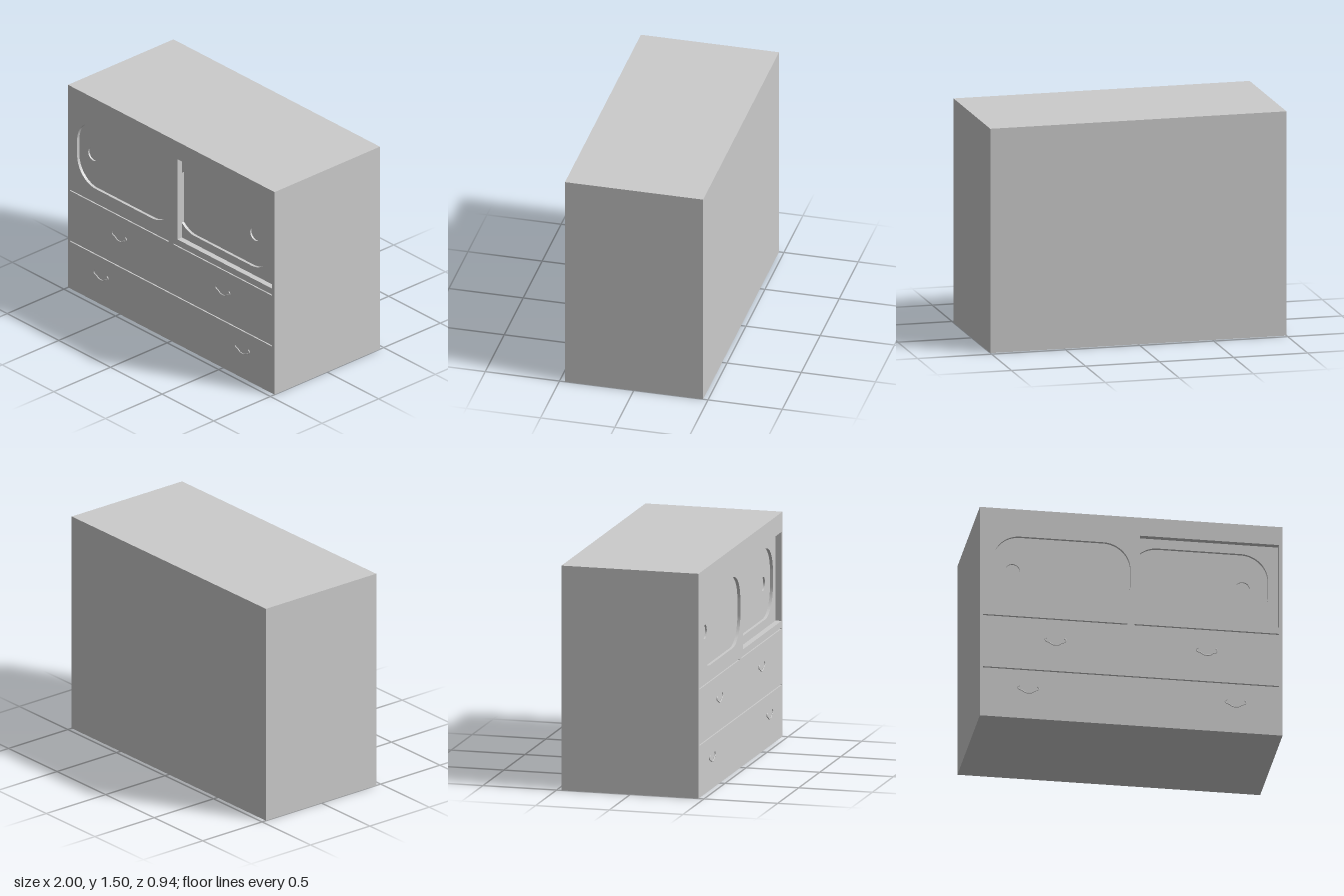
import * as THREE from 'three';
import { toCreasedNormals } from 'three/addons/utils/BufferGeometryUtils.js';

const FRONT = 0.463, BACK = -0.467, HEIGHT = 1.5;
const material = new THREE.MeshStandardMaterial({ color: 0xcccccc });
const thin = new THREE.MeshStandardMaterial({ color: 0xcccccc, side: THREE.DoubleSide });

const rect = (x0, y0, x1, y1) =>
  new THREE.Shape([[x0, y0], [x1, y0], [x1, y1], [x0, y1]].map(p => new THREE.Vector2(...p)));

const circle = (x, y, r) => new THREE.Shape().absarc(x, y, r, 0, Math.PI * 2);

// Rounded panel; the left corners are cut off at x = clip
function roundedPanel(x0, y0, x1, y1, r, clip = x0) {
  const a = Math.acos(Math.max(-1, (clip - x0 - r) / r));
  const s = new THREE.Shape();
  s.absarc(x0 + r, y0 + r, r, -a, -Math.PI / 2);
  if (clip === x0) s.curves.length = 0, s.absarc(x0 + r, y0 + r, r, Math.PI, Math.PI * 1.5);
  s.absarc(x1 - r, y0 + r, r, -Math.PI / 2, 0);
  s.absarc(x1 - r, y1 - r, r, 0, Math.PI / 2);
  s.absarc(x0 + r, y1 - r, r, Math.PI / 2, a);
  s.closePath();
  return s;
}

function add(parent, name, geometry, mat = material) {
  const mesh = new THREE.Mesh(geometry, mat);
  mesh.name = name;
  parent.add(mesh);
  return mesh;
}

// Flat face at depth z with openings
function face(parent, name, shape, z, holes = []) {
  const s = new THREE.Shape(shape.getPoints(16));
  s.holes = holes.map(h => new THREE.Path(h.getPoints(16)));
  add(parent, name, new THREE.ShapeGeometry(s), thin).position.z = z;
}

// Sunken pocket: side walls running back from z, and a floor
function recess(parent, name, shape, z, depth, holes = []) {
  const group = new THREE.Group();
  group.name = name;
  const pts = shape.getPoints(16), pos = [];
  pts.forEach((a, i) => {
    const b = pts[(i + 1) % pts.length], e = z - depth;
    if (a.distanceTo(b) < 1e-6) return;
    pos.push(a.x, a.y, z, a.x, a.y, e, b.x, b.y, z, b.x, b.y, z, a.x, a.y, e, b.x, b.y, e);
  });
  const walls = new THREE.BufferGeometry();
  walls.setAttribute('position', new THREE.Float32BufferAttribute(pos, 3));
  walls.computeVertexNormals();
  add(group, name + 'Walls', toCreasedNormals(walls, 0.6), thin);
  face(group, name + 'Floor', shape, z - depth, holes);
  parent.add(group);
}

export function createModel() {
  const model = new THREE.Group();
  model.name = 'cabinet';

  // Carcass: a box without its front side
  const box = new THREE.BoxGeometry(2, HEIGHT, FRONT - BACK);
  const index = Array.from(box.index.array);
  index.splice(24, 6);
  box.setIndex(index);
  box.clearGroups();
  add(model, 'carcass', box).position.set(0, HEIGHT / 2, (FRONT + BACK) / 2);

  // Outlines cut into the front
  const leftPanel = roundedPanel(-0.912, 0.835, -0.005, 1.305, 0.18);
  const opening = rect(0.058, 0.776, 0.975, 1.37);
  const rightPanel = roundedPanel(0.003, 0.835, 0.91, 1.305, 0.18, 0.058);
  const leftPull = circle(-0.78, 1.066, 0.047);
  const rightPull = circle(0.745, 1.066, 0.047);
  const grooves = [
    rect(-0.98, 0.723, -0.025, 0.731),
    rect(0.022, 0.723, 0.975, 0.731),
    rect(-0.98, 0.347, 0.975, 0.355),
  ];
  face(model, 'frontFace', rect(-1, 0, 1, HEIGHT), FRONT, [leftPanel, opening, ...grooves]);

  // Front sliding door with its finger pull
  recess(model, 'leftDoorPanel', leftPanel, FRONT, 0.02, [leftPull]);
  recess(model, 'leftFingerPull', leftPull, FRONT - 0.02, 0.012);

  // Rear sliding door, set back behind the opening
  recess(model, 'rightDoorOpening', opening, FRONT, 0.04, [rightPanel]);
  recess(model, 'rightDoorPanel', rightPanel, FRONT - 0.04, 0.02, [rightPull]);
  recess(model, 'rightFingerPull', rightPull, FRONT - 0.06, 0.012);

  // Gaps above the drawers
  grooves.forEach(g => recess(model, 'drawerGap', g, FRONT, 0.02));

  // Drawer handles: slim drooping bails with curled ends
  const half = [[-0.058, 0.028], [-0.069, 0.017], [-0.063, 0.003], [-0.043, -0.004], [-0.022, -0.018]];
  const path = [...half, [0, -0.021], ...half.map(([x, y]) => [-x, y]).reverse()];
  const curve = new THREE.CatmullRomCurve3(path.map(([x, y]) => new THREE.Vector3(x, y, 0)));
  const bail = new THREE.TubeGeometry(curve, 48, 0.004, 8);
  for (const [x, y] of [[-0.5, 0.562], [0.5, 0.562], [-0.68, 0.204], [0.69, 0.204]])
    add(model, 'drawerHandle', bail, thin).position.set(x, y, FRONT + 0.003);

  return model;
}
